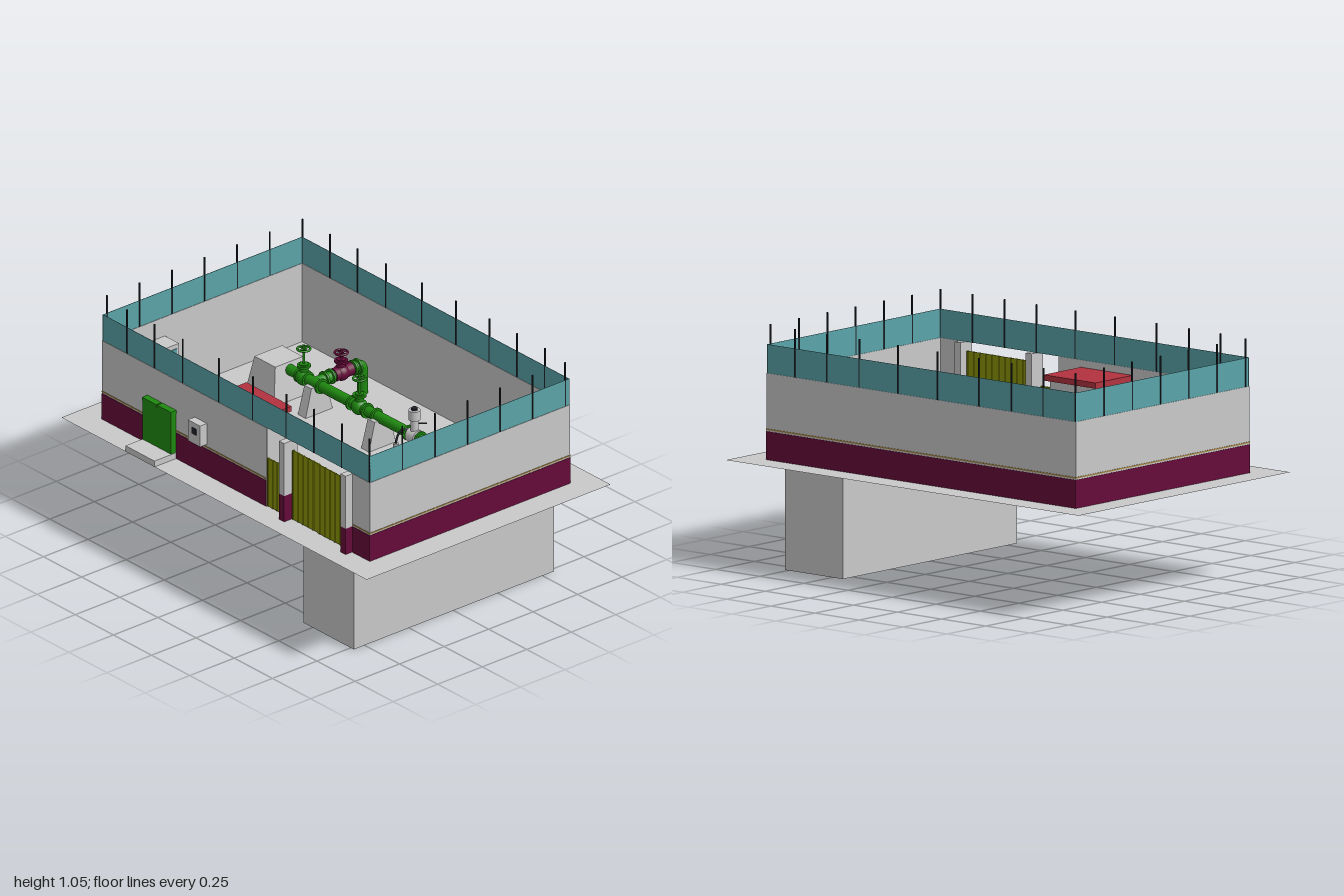
import * as THREE from 'three';

const mat = (name, color, side = THREE.FrontSide) => {
  const m = new THREE.MeshStandardMaterial({ color, side });
  m.name = name;
  return m;
};

export function createModel() {
  const root = new THREE.Group();
  root.name = 'pumpingStationYard';
  const M = {
    concrete: mat('concrete grey', 0xc9c9c9, THREE.DoubleSide),
    maroon: mat('maroon plinth', 0x660b39),
    teal: mat('teal panel', 0x5aa4a9, THREE.DoubleSide),
    green: mat('pipe green', 0x1f8a10),
    red: mat('roof red', 0xb2323f),
    olive: mat('gate olive', 0x8a9400),
    black: mat('post black', 0x20242a),
    ochre: mat('stripe ochre', 0xa98a4a),
  };
  const G = 0.465; // yard level

  const add = (name, geo, m, parent = root) => {
    const mesh = new THREE.Mesh(geo, m);
    mesh.name = name;
    parent.add(mesh);
    return mesh;
  };
  // box given by its limits
  const box = (name, m, x0, x1, y0, y1, z0, z1, parent = root) => {
    const g = new THREE.BoxGeometry(x1 - x0, y1 - y0, z1 - z0);
    g.translate((x0 + x1) / 2, (y0 + y1) / 2, (z0 + z1) / 2);
    return add(name, g, m, parent);
  };
  // box whose top is scaled about its centre
  const taper = (name, m, w, h, d, sx, sz, x, y, z, parent = root) => {
    const g = new THREE.BoxGeometry(w, h, d);
    const p = g.attributes.position;
    for (let i = 0; i < p.count; i++)
      if (p.getY(i) > 0) p.setXYZ(i, p.getX(i) * sx, p.getY(i), p.getZ(i) * sz);
    g.computeVertexNormals();
    g.translate(x, y + h / 2, z);
    return add(name, g, m, parent);
  };
  // cylinder between two points
  const rod = (name, m, a, b, r, parent = root, n = 20) => {
    const A = new THREE.Vector3(...a), B = new THREE.Vector3(...b);
    const mesh = add(name, new THREE.CylinderGeometry(r, r, A.distanceTo(B), n), m, parent);
    mesh.position.copy(A).add(B).multiplyScalar(0.5);
    mesh.quaternion.setFromUnitVectors(new THREE.Vector3(0, 1, 0), B.sub(A).normalize());
    return mesh;
  };
  const bend = (name, m, a, c, b, r, parent) => add(name, new THREE.TubeGeometry(
    new THREE.QuadraticBezierCurve3(new THREE.Vector3(...a), new THREE.Vector3(...c), new THREE.Vector3(...b)),
    12, r, 20), m, parent);

  // ground sheet and underground chamber
  const ground = add('ground', new THREE.PlaneGeometry(1.37, 2), M.concrete);
  ground.rotation.x = -Math.PI / 2;
  ground.position.y = G;
  box('undergroundChamber', M.concrete, -0.56, 0.565, 0, G - 0.001, 0.44, 0.77);

  // perimeter: grey wall, maroon plinth outside, thin stripe
  const W = 0.562, D = 0.877, T = 0.006;
  const wall = (x0, x1, z0, z1, ox, oz) => {
    const g = new THREE.Group();
    g.name = 'wall';
    root.add(g);
    box('wallPanel', M.concrete, x0, x1, G, 0.84, z0, z1, g);
    const face = (name, m, y0, y1, t) => box(name, m,
      ox > 0 ? x1 : ox < 0 ? x0 - t : x0, ox > 0 ? x1 + t : ox < 0 ? x0 : x1, y0, y1,
      oz > 0 ? z1 : oz < 0 ? z0 - t : z0, oz > 0 ? z1 + t : oz < 0 ? z0 : z1, g);
    face('plinth', M.maroon, G, 0.588, 0.002);
    face('stripe', M.ochre, 0.594, 0.6, 0.002);
  };
  wall(-W, W, D - T, D, 0, 1);
  wall(-W, W, -D, -D + T, 0, -1);
  wall(W - T, W, -D, D, 1, 0);
  wall(-W, -W + T, -D, 0.2, -1, 0);
  wall(-W, -W + T, 0.765, D, -1, 0);

  // teal screen above the wall
  for (const s of [-1, 1]) {
    box('screenEnd', M.teal, -W, W, 0.84, 0.965, s * (D - 0.003) - 0.001, s * (D - 0.003) + 0.001);
    box('screenSide', M.teal, s * (W - 0.003) - 0.001, s * (W - 0.003) + 0.001, 0.84, 0.965, -D, D);
  }
  const post = (x, z) => box('screenPost', M.black, x - 0.003, x + 0.003, 0.84, 1.05, z - 0.003, z + 0.003);
  for (let i = 0; i < 7; i++) {
    const x = -0.56 + i * 0.183;
    post(x, D - 0.003);
    post(-x, -D + 0.003);
  }
  for (const z of [0.717, 0.535, 0.353, 0.134, -0.09, -0.326, -0.51, -0.69]) {
    post(W - 0.003, z);
    post(-W + 0.003, z - 0.026);
  }

  // gate pillars and gates
  for (const z of [0.327, 0.73]) {
    box('pillarBase', M.maroon, -0.6, -0.525, G, 0.588, z, z + 0.033);
    box('pillar', M.concrete, -0.6, -0.525, 0.588, 0.84, z, z + 0.033);
  }
  const gate = (z0, z1, top, x, n) => {
    box('gateLeaf', M.olive, x - 0.002, x + 0.002, G + 0.005, top, z0, z1);
    for (let i = 0; i <= n; i++) {
      const z = z0 + (z1 - z0) * i / n;
      box('gateRib', M.olive, x - 0.005, x + 0.005, G + 0.005, top, z - 0.003, z + 0.003);
    }
  };
  gate(0.375, 0.54, 0.8, -0.56, 5);
  gate(0.55, 0.722, 0.8, -0.563, 5);
  gate(0.21, 0.3, 0.7, -0.56, 3);

  // meter box on the wall
  box('meterBox', M.concrete, -0.6, -W, 0.61, 0.71, -0.27, -0.19);
  box('meterWindow', M.black, -0.602, -0.6, 0.655, 0.685, -0.245, -0.215);

  // transformer on its slab
  box('transformerSlab', M.concrete, -0.685, -0.34, G, 0.493, -0.58, -0.39);
  box('transformerBody', M.green, -0.59, -0.425, 0.493, 0.68, -0.578, -0.392);
  for (const z of [-0.58, -0.482])
    box('transformerLid', M.green, -0.592, -0.42, 0.68, 0.695, z, z + 0.092);
  for (let i = 0; i < 8; i++) {
    const z = -0.55 + i * 0.0175;
    box('coolingFin', M.green, -0.425, -0.402, 0.52, 0.66, z - 0.004, z + 0.004);
  }

  // kiosk with red roof
  box('kioskBody', M.concrete, -0.53, -0.33, G, 0.785, -0.205, 0.05);
  box('kioskRoof', M.red, -0.55, -0.31, 0.785, 0.81, -0.225, 0.07);
  for (const z of [-0.18, -0.07])
    box('kioskDoor', M.teal, -0.33, -0.326, 0.49, 0.745, z, z + 0.1);

  // equipment cabinet against the back wall
  box('cabinet', M.concrete, -0.52, -0.215, G, 0.75, -0.87, -0.778);
  for (const x of [-0.505, -0.365])
    box('cabinetDoor', M.teal, x, x + 0.135, 0.49, 0.73, -0.778, -0.774);

  // main pipe
  const X = 0.175, Y = 0.6, R = 0.024;
  const pipe = new THREE.Group();
  pipe.name = 'pipeline';
  root.add(pipe);
  rod('mainPipe', M.green, [X, Y, -0.53], [X, Y, 0.56], R, pipe);
  bend('pumpElbow', M.green, [X, Y, 0.55], [X, Y, 0.605], [X, 0.545, 0.605], R + 0.004, pipe);
  rod('pumpFlange', M.green, [X, 0.565, 0.605], [X, 0.58, 0.605], 0.042, pipe);
  bend('outletElbow', M.green, [X, Y, -0.52], [X, Y, -0.56], [X, 0.57, -0.59], R, pipe);
  rod('outletPipe', M.green, [X, 0.575, -0.585], [X, 0.445, -0.69], R, pipe);
  rod('riserStub', M.green, [X, 0.56, -0.63], [X, 0.46, -0.685], R + 0.002, pipe);
  for (const z of [0.53, 0.5, 0.47, 0.44, 0.35, 0.27, 0.06, 0.0, -0.1, -0.3, -0.39, -0.44])
    rod('flange', M.green, [X, Y, z - 0.005], [X, Y, z + 0.005], 0.034, pipe);

  // pump bed between two concrete blocks
  box('pumpBed', M.green, 0.1, 0.265, 0.55, 0.565, 0.545, 0.68);
  box('pumpBody', M.green, 0.125, 0.225, 0.48, 0.55, 0.56, 0.665);
  for (const z of [0.555, 0.66]) box('bedBeam', M.green, 0.08, 0.28, 0.535, 0.55, z - 0.008, z + 0.008);
  for (const x of [0.065, 0.295]) taper('pumpBlock', M.concrete, 0.054, 0.11, 0.18, 0.55, 1, x, G, 0.61);

  // outlet anchor block and pipe saddles
  taper('anchorBlock', M.concrete, 0.215, 0.17, 0.19, 0.72, 0.72, X, G, -0.58);
  for (const z of [0.395, 0.075, -0.34])
    taper('pipeSaddle', M.concrete, 0.165, 0.155, 0.052, 0.5, 0.9, X, 0.44, z);

  // valves with handwheels
  const valve = (m, x, z, top) => {
    const g = new THREE.Group();
    g.name = 'valve';
    pipe.add(g);
    const body = add('valveBody', new THREE.SphereGeometry(0.037, 20, 14), m, g);
    body.position.set(x, Y, z);
    rod('bonnet', m, [x, Y, z], [x, Y + 0.065, z], 0.02, g);
    rod('bonnetFlange', m, [x, Y + 0.05, z], [x, Y + 0.06, z], 0.03, g);
    rod('stem', m, [x, Y + 0.06, z], [x, top, z], 0.006, g, 10);
    const wheel = add('handwheel', new THREE.TorusGeometry(0.028, 0.005, 8, 24), m, g);
    wheel.rotation.x = Math.PI / 2;
    wheel.position.set(x, top - 0.015, z);
    for (const [dx, dz] of [[0.028, 0], [0, 0.028]])
      rod('spoke', m, [x - dx, top - 0.015, z - dz], [x + dx, top - 0.015, z + dz], 0.004, g, 8);
  };
  valve(M.green, X, -0.05, 0.75);
  valve(M.green, X, -0.415, 0.75);

  // side branch with maroon valve
  rod('branchPipe', M.green, [X, Y, -0.345], [0.43, Y, -0.345], R, pipe);
  bend('branchElbow', M.green, [0.42, Y, -0.345], [0.445, Y, -0.345], [0.445, 0.56, -0.345], R, pipe);
  rod('branchDrop', M.green, [0.445, 0.565, -0.345], [0.445, G, -0.345], R, pipe);
  rod('branchSleeve', M.maroon, [0.28, Y, -0.345], [0.38, Y, -0.345], 0.03, pipe);
  for (const x of [0.23, 0.265, 0.39, 0.415])
    rod('branchFlange', M.green, [x - 0.005, Y, -0.345], [x + 0.005, Y, -0.345], 0.034, pipe);
  valve(M.maroon, 0.325, -0.345, 0.71);

  // grey air valve on the main pipe
  rod('airValveBody', M.concrete, [X, Y, 0.285], [X, Y, 0.335], 0.033, pipe);
  rod('airValveNeck', M.concrete, [X, Y, 0.31], [X, 0.68, 0.31], 0.018, pipe);
  rod('airValveHead', M.concrete, [X, 0.68, 0.31], [X, 0.725, 0.31], 0.026, pipe);
  rod('airValveCap', M.black, [X, 0.725, 0.31], [X, 0.735, 0.31], 0.014, pipe);
  rod('airValveLever', M.black, [X, 0.66, 0.31], [0.215, 0.66, 0.345], 0.004, pipe, 8);

  // sampling pot with its arm
  rod('samplingPot', M.concrete, [0.12, 0.415, 0.252], [0.12, 0.56, 0.252], 0.013, pipe);
  rod('samplingTip', M.black, [0.12, 0.38, 0.252], [0.12, 0.415, 0.252], 0.004, pipe, 8);
  bend('samplingArm', M.black, [0.12, 0.56, 0.252], [0.13, 0.64, 0.255], [X, 0.62, 0.285], 0.005, pipe);

  return root;
}
